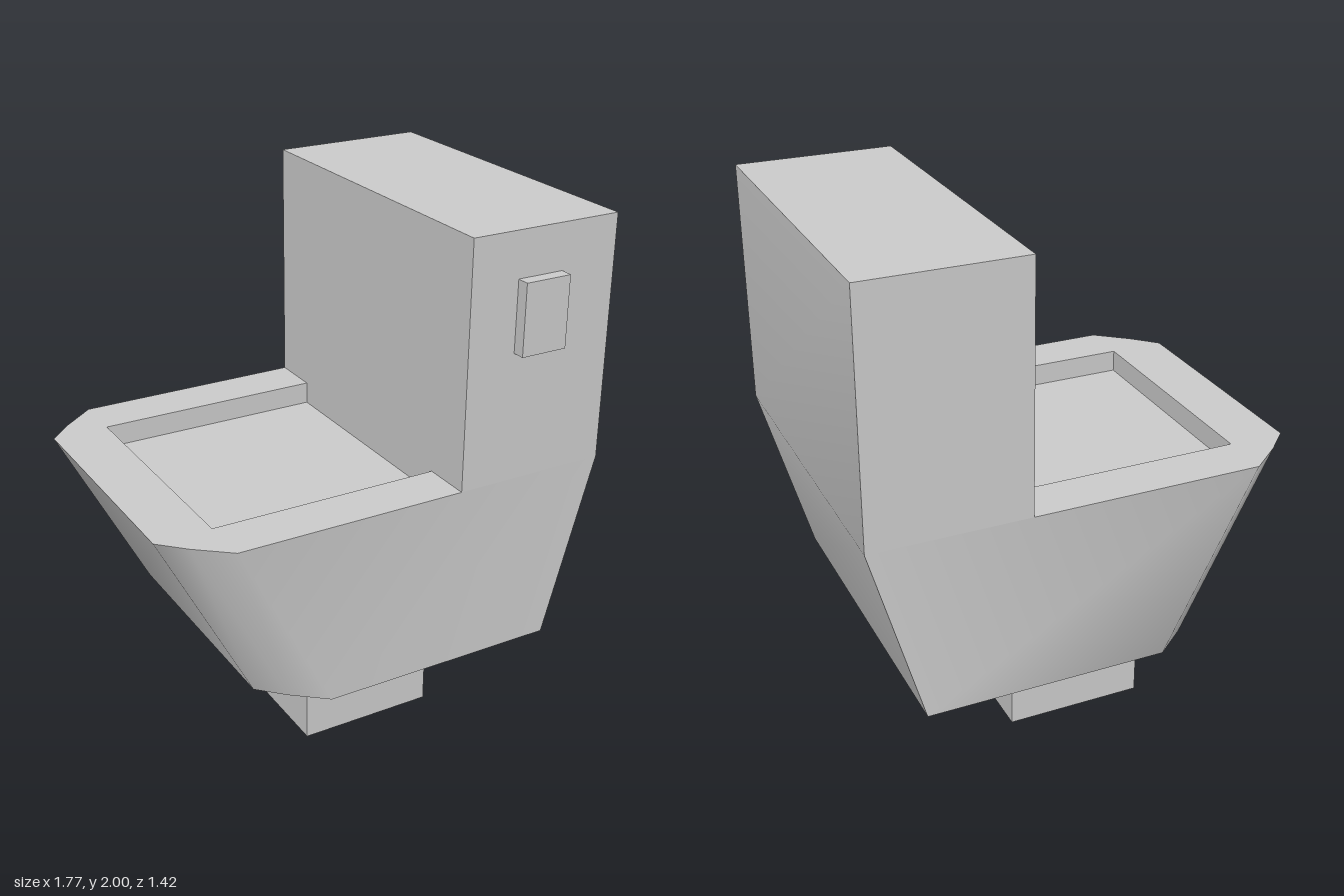
import * as THREE from 'three';
import { toCreasedNormals } from 'three/addons/utils/BufferGeometryUtils.js';

const FLOOR = 0.94, RIM = 1.03, BASE = 0.3, TOP = 2;
const BACK = -0.71, FRONT = 0.66;

// Walls between two matching loops of [x, z] points
function loft(out, low, y0, high, y1, inward = false) {
  low.forEach((p, i) => {
    const j = (i + 1) % low.length;
    const a = [p[0], y0, p[1]], b = [low[j][0], y0, low[j][1]];
    const c = [high[j][0], y1, high[j][1]], d = [high[i][0], y1, high[i][1]];
    const tris = inward ? [a, c, b, a, d, c] : [a, b, c, a, c, d];
    tris.forEach((v) => out.push(...v));
  });
}

// Flat horizontal face over a loop of [x, z] points
function cap(out, loop, y, up = true) {
  const pts = loop.map(([x, z]) => new THREE.Vector2(x, z));
  for (const [i, j, k] of THREE.ShapeUtils.triangulateShape(pts, [])) {
    const [a, b, c] = [loop[i], loop[j], loop[k]];
    const ny = (b[1] - a[1]) * (c[0] - a[0]) - (b[0] - a[0]) * (c[1] - a[1]);
    const order = (ny > 0) === up ? [a, b, c] : [a, c, b];
    order.forEach(([x, z]) => out.push(x, y, z));
  }
}

function finish(name, positions, material) {
  const geometry = new THREE.BufferGeometry();
  geometry.setAttribute('position', new THREE.Float32BufferAttribute(positions, 3));
  const mesh = new THREE.Mesh(toCreasedNormals(geometry, 0.87), material);
  mesh.name = name;
  return mesh;
}

function block(name, [x0, x1], [y0, y1], [z0, z1], material) {
  const mesh = new THREE.Mesh(new THREE.BoxGeometry(x1 - x0, y1 - y0, z1 - z0), material);
  mesh.position.set((x0 + x1) / 2, (y0 + y1) / 2, (z0 + z1) / 2);
  mesh.name = name;
  return mesh;
}

export function createModel() {
  const group = new THREE.Group();
  group.name = 'toilet';
  const material = new THREE.MeshStandardMaterial({ color: 0xcccccc });

  // Chamfered nose shared by the bowl's rim and underside
  const nose = [
    [-0.66, BACK], [-0.79, -0.605], [-0.885, -0.51],
    [-0.885, 0.46], [-0.79, 0.555], [-0.66, FRONT],
  ];
  const upper = [[0.885, BACK], ...nose, [0.885, FRONT]];
  const lower = [[0.68, BACK], ...nose.map(([x, z]) => [x + 0.375, z]), [0.68, FRONT]];
  const tank = [[0.885, BACK], [0.26, BACK], [0.26, FRONT], [0.885, FRONT]];
  const basin = [[0.26, -0.51], [-0.66, -0.51], [-0.66, 0.46], [0.26, 0.46]];

  // Bowl and tank in one shell, so the tank runs smoothly into the bowl
  const shell = [];
  loft(shell, lower, BASE, upper, RIM);
  cap(shell, lower, BASE, false);
  loft(shell, tank, RIM, tank, TOP);
  cap(shell, tank, TOP);
  group.add(finish('bowlAndTank', shell, material));

  // U-shaped rim around the basin
  const rim = [];
  cap(rim, [[0.26, BACK], ...nose, [0.26, FRONT], ...basin.slice().reverse()], RIM);
  group.add(finish('rim', rim, material));

  // Shallow recess
  const recess = [];
  loft(recess, basin, FLOOR, basin, RIM, true);
  cap(recess, basin, FLOOR);
  group.add(finish('basin', recess, material));

  // Foot and flush button
  group.add(block('pedestal', [-0.28, 0.26], [0, BASE], [-0.51, 0.46], material));
  group.add(block('flushButton', [0.46, 0.65], [1.54, 1.82], [FRONT, 0.71], material));

  return group;
}
